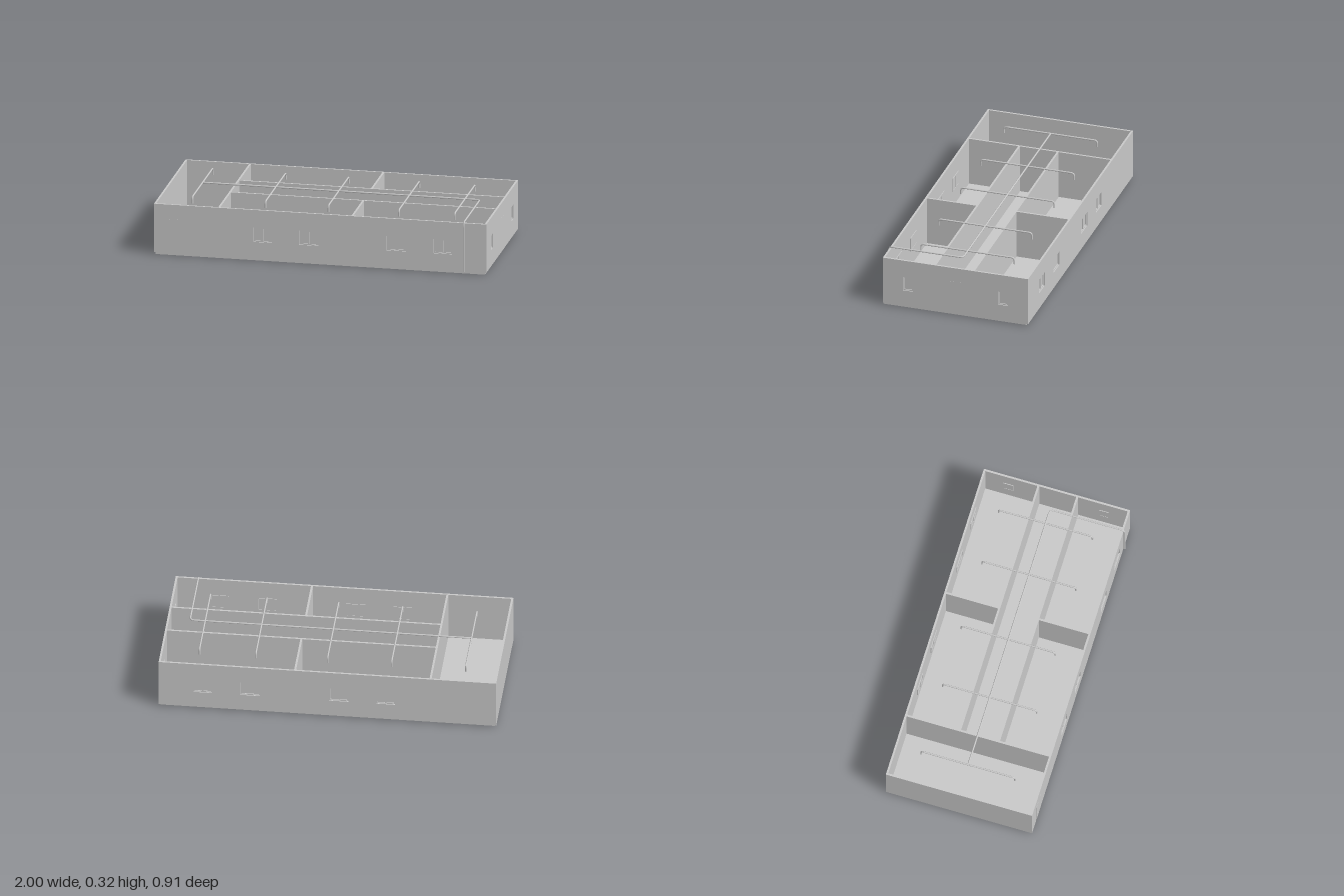
import * as THREE from 'three';

const WALL_BOTTOM = 0.012, WALL_TOP = 0.31, T = 0.012;
const FRONT = 0.444, BACK = -0.455;
const WIN_LOW = 0.113, WIN_HIGH = 0.201;

export function createModel() {
  const model = new THREE.Group();
  model.name = 'building';
  const grey = new THREE.MeshStandardMaterial({ color: 0xc9c9c9 });
  grey.name = 'plain grey';
  grey.side = THREE.DoubleSide;

  const add = (parent, name, geometry) => {
    const mesh = new THREE.Mesh(geometry, grey);
    mesh.name = name;
    parent.add(mesh);
    return mesh;
  };
  // Box given by its low and high corners
  const box = (parent, name, x0, x1, y0, y1, z0, z1) =>
    add(parent, name, new THREE.BoxGeometry(x1 - x0, y1 - y0, z1 - z0))
      .position.set((x0 + x1) / 2, (y0 + y1) / 2, (z0 + z1) / 2);
  const rectangle = (target, a, b, c, d) => {
    target.moveTo(a, c);
    target.lineTo(b, c);
    target.lineTo(b, d);
    target.lineTo(a, d);
    target.closePath();
    return target;
  };

  // Wall in its own x-y plane with window openings; its outside faces local +z
  const wall = (name, a, b, windows) => {
    const group = new THREE.Group();
    group.name = name;
    const shape = rectangle(new THREE.Shape(), a, b, WALL_BOTTOM, WALL_TOP);
    for (const w of windows) {
      shape.holes.push(rectangle(new THREE.Path(), w.a, w.b, WIN_LOW, WIN_HIGH));
      // Recessed frame, deeper glazing and an optional centre mullion
      const frame = rectangle(new THREE.Shape(), w.a, w.b, WIN_LOW, WIN_HIGH);
      const f = 0.006;
      frame.holes.push(rectangle(new THREE.Path(), w.a + f, w.b - f, WIN_LOW + f, WIN_HIGH - f));
      const frameMesh = add(group, 'windowFrame',
        new THREE.ExtrudeGeometry(frame, { depth: 0.01, bevelEnabled: false }));
      frameMesh.position.z = -0.016;
      box(group, 'windowPane', w.a + f, w.b - f, WIN_LOW + f, WIN_HIGH - f, -0.014, -0.012);
      if (w.mullion) {
        const m = (w.a + w.b) / 2;
        box(group, 'windowMullion', m - 0.004, m + 0.004, WIN_LOW + f, WIN_HIGH - f, -0.016, -0.006);
      }
    }
    add(group, 'wallPanel', new THREE.ExtrudeGeometry(shape, { depth: T, bevelEnabled: false }))
      .position.z = -T;
    model.add(group);
    return group;
  };

  // Floor slab
  box(model, 'floor', -0.99, 0.99, 0, WALL_BOTTOM + 0.001, -0.443, 0.442);

  // Outer walls
  const longWindows = [
    { a: -0.4, b: -0.29, mullion: true },
    { a: -0.126, b: -0.01, mullion: true },
    { a: 0.4, b: 0.516, mullion: false },
    { a: 0.683, b: 0.793, mullion: true },
  ];
  const mirrored = longWindows.map((w) => ({ a: -w.b, b: -w.a, mullion: w.mullion }));
  wall('frontWall', -1, 1, longWindows).position.z = FRONT;
  const back = wall('backWall', -1, 1, mirrored);
  back.rotation.y = Math.PI;
  back.position.z = BACK;
  const left = wall('leftWall', -FRONT + T, -BACK - T, [
    { a: -0.318, b: -0.258 },
    { a: 0.27, b: 0.33 },
  ]);
  left.rotation.y = Math.PI / 2;
  left.position.x = 1;
  const right = wall('rightWall', BACK + T, FRONT - T, []);
  right.rotation.y = -Math.PI / 2;
  right.position.x = -1;

  // Nearly flush doors and their handles
  box(model, 'leftDoor', 0.998, 1.0006, WALL_BOTTOM, 0.22, -0.05, 0.035);
  box(model, 'leftDoorHandle', 0.999, 1.001, 0.113, 0.115, -0.04, -0.028);
  box(model, 'frontDoor', -0.915, -0.82, WALL_BOTTOM, 0.22, FRONT - 0.002, FRONT + 0.0006);
  box(model, 'frontDoorHandle', -0.905, -0.893, 0.113, 0.115, FRONT, FRONT + 0.002);

  // Partitions: cross wall, two corridor walls and a room divider on each side
  const partition = (name, x0, x1, z0, z1) =>
    box(model, name, x0, x1, WALL_BOTTOM, WALL_TOP - 0.0005, z0, z1);
  partition('crossPartition', -0.616, -0.604, BACK + T, FRONT - T);
  partition('backCorridorWall', -0.604, 1 - T, -0.123, -0.111);
  partition('frontCorridorWall', -0.604, 1 - T, 0.116, 0.128);
  partition('backRoomDivider', 0.186, 0.198, BACK + T, -0.123);
  partition('frontRoomDivider', 0.186, 0.198, 0.128, FRONT - T);

  // Pipe along straight runs with rounded bends
  const pipe = (name, corners, bend) => {
    const points = corners.map((c) => new THREE.Vector3(...c));
    const path = new THREE.CurvePath();
    let start = points[0];
    for (let i = 1; i < points.length - 1; i++) {
      const p = points[i];
      const toward = (q) => p.clone().add(q.clone().sub(p).setLength(bend));
      const before = toward(points[i - 1]), after = toward(points[i + 1]);
      path.add(new THREE.LineCurve3(start, before));
      path.add(new THREE.QuadraticBezierCurve3(before, p, after));
      start = after;
    }
    path.add(new THREE.LineCurve3(start, points[points.length - 1]));
    add(model, name, new THREE.TubeGeometry(path, 160, 0.005, 10));
  };
  const y = 0.316;
  pipe('mainPipe', [[-0.803, y, -0.008], [0.865, y, -0.008], [0.865, y, 0.45],
    [0.865, WALL_BOTTOM, 0.45]], 0.025);
  for (const x of [-0.803, -0.363, 0.016, 0.44, 0.775]) {
    pipe('branchPipe', [[x, 0.275, -0.297], [x, y, -0.297], [x, y, 0.28], [x, 0.275, 0.28]], 0.02);
  }
  return model;
}
